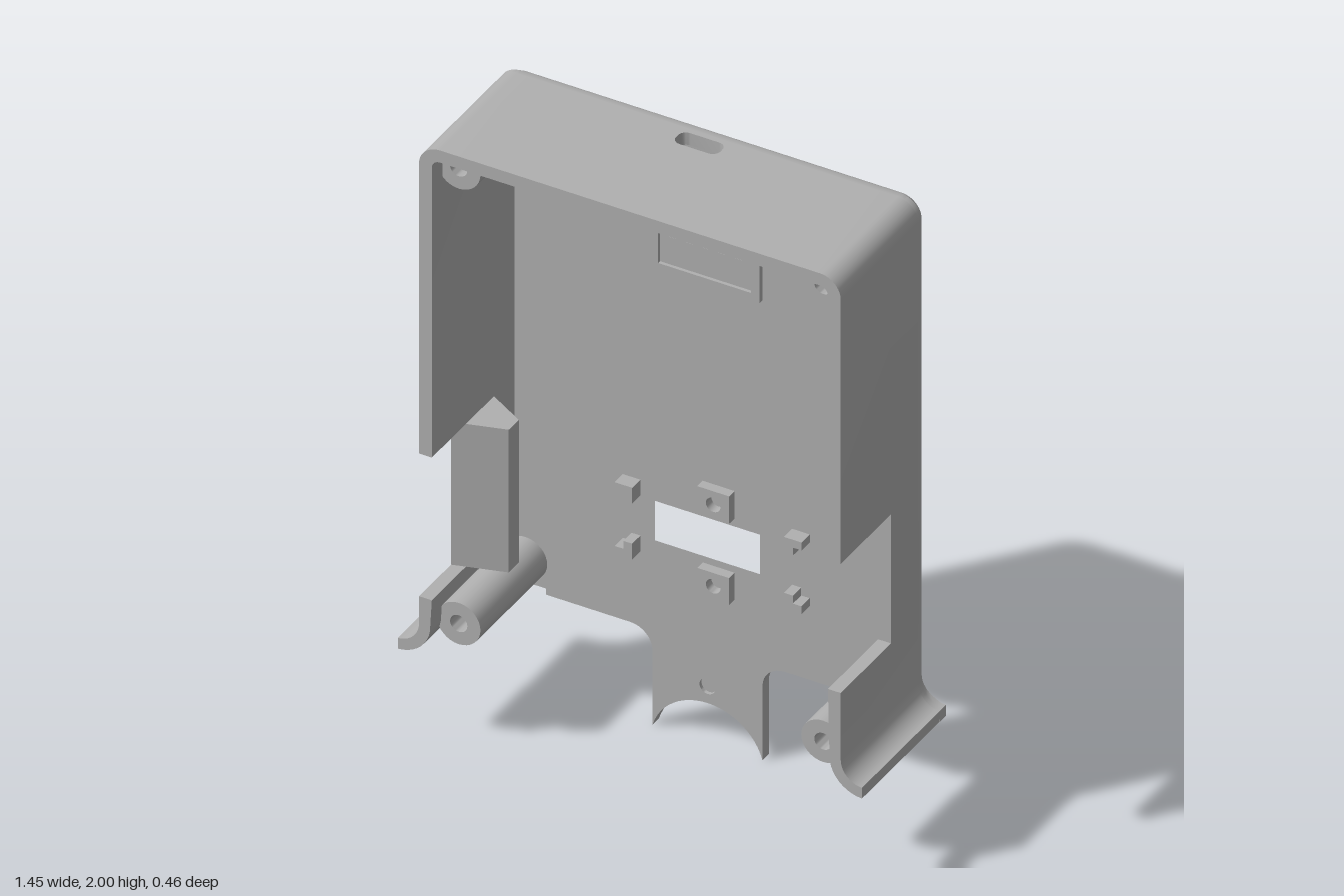
import * as THREE from 'three';
import { toCreasedNormals } from 'three/addons/utils/BufferGeometryUtils.js';

const BACK = -0.23, FLOOR = -0.195, FRONT = 0.23;

export function createModel() {
  const model = new THREE.Group();
  model.name = 'enclosure';
  const grey = new THREE.MeshStandardMaterial({ color: 0xb0b0b0 });
  grey.name = 'plain grey';

  const add = (name, geo) => {
    const mesh = new THREE.Mesh(toCreasedNormals(geo, 0.6), grey);
    mesh.name = name;
    model.add(mesh);
    return mesh;
  };
  // arc as a list of points, angles in degrees
  const arc = (cx, cy, r, a0, a1, n = 10) => Array.from({ length: n + 1 }, (_, i) => {
    const a = THREE.MathUtils.degToRad(a0 + (a1 - a0) * i / n);
    return [cx + r * Math.cos(a), cy + r * Math.sin(a)];
  });
  const flip = (pts, s = -1) => pts.map(([x, y]) => [x * s, y]);
  const toShape = (pts) => new THREE.Shape(pts.map(([x, y]) => new THREE.Vector2(x, y)));
  const rect = (x0, y0, x1, y1) => [[x0, y0], [x1, y0], [x1, y1], [x0, y1]];
  const circle = (x, y, r) => arc(x, y, r, 0, 345, 23);
  const extrude = (pts, z0, z1, holes = [], steps = 1) => {
    const shape = toShape(pts);
    shape.holes = holes.map(toShape);
    return new THREE.ExtrudeGeometry(shape, { depth: z1 - z0, steps, bevelEnabled: false }).translate(0, 0, z0);
  };
  // outline drawn in x and -z, raised from y0 to y1
  const raise = (pts, y0, y1, holes) => extrude(pts, y0, y1, holes).rotateX(-Math.PI / 2);
  // turned part with its axis along z
  const turned = (name, x, y, profile) => add(name,
    new THREE.LatheGeometry(profile.map(([r, z]) => new THREE.Vector2(r, z)), 32)
      .rotateX(Math.PI / 2).translate(x, y, 0));

  // back plate with flared feet, lower tab, screw holes and tapered window
  const half = [
    ...arc(0, -0.049, 0.179, 90, 16, 12).slice(1), [0.172, 0.245],
    ...arc(0.242, 0.245, 0.07, 180, 90, 8).slice(1),
    [0.505, 0.315], [0.505, 0.335], [0.59, 0.335], [0.59, 0.315],
    [0.727, 0.315], ...arc(0.73, 0.42, 0.07, 267, 180),
    ...arc(0.595, 1.935, 0.065, 0, 90),
  ];
  const outline = [[0, 0.13], ...half, ...flip(half).reverse()];
  const screws = [[-0.57, 1.915], [0.57, 1.915], [-0.57, 0.415], [0.57, 0.415]];
  const windowHole = rect(-0.165, 0.61, 0.165, 0.74);
  const plate = extrude(outline, BACK, FLOOR,
    [windowHole, circle(0, 0.185, 0.045), ...screws.map(([x, y]) => circle(x, y, 0.045))], 2);
  const p = plate.attributes.position;
  for (let i = 0; i < p.count; i++) {
    const x = p.getX(i), y = p.getY(i), z = p.getZ(i);
    const t = (FLOOR - z) / (FLOOR - BACK);
    if (windowHole.some(([a, b]) => Math.hypot(a - x, b - y) < 1e-4)) {
      p.setXY(i, x + Math.sign(x) * 0.05 * t, y + Math.sign(y - 0.675) * 0.04 * t);
    } else if (t > 0.9 && y > 0.36 && (Math.abs(x) > 0.625 || y > 1.965)) {
      p.setXY(i, x * 0.985, 1 + (y - 1) * 0.99); // bevelled rear edge
    }
  }
  add('backPlate', plate);

  // side walls: upper leg with rounded corner, lower leg with flared foot
  for (const [s, side, top, low] of [[1, 'left', 1.065, 0.64], [-1, 'right', 0.98, 0.51]]) {
    const upper = [[0.62, top], [0.66, top], ...arc(0.595, 1.935, 0.065, 0, 90),
      [0.5, 2], [0.5, 1.96], ...arc(0.595, 1.935, 0.025, 90, 0, 6)];
    add(side + 'UpperWall', extrude(flip(upper, s), FLOOR, FRONT));
    const foot = [[0.66, low], ...arc(0.73, 0.42, 0.07, 180, 267),
      ...arc(0.73, 0.42, 0.105, 268, 180), [0.62, low]];
    add(side + 'LowerWallAndFoot', extrude(flip(foot, s), FLOOR, FRONT));
    add(side + 'NotchWall', extrude(flip(rect(0.62, low, 0.66, top), s), FLOOR, -0.045));
    add(side + 'InnerChamfer', raise(flip([[0.625, 0.195], [0.605, 0.195], [0.62, 0.15], [0.625, 0.15]], s), 0.42, 1.96));
  }

  // top wall with rounded cable slot
  const slot = [...arc(0.045, 0.15, 0.025, 0, 90, 6), ...arc(-0.045, 0.15, 0.025, 90, 180, 6),
    ...arc(-0.045, 0.15, 0.025, 180, 270, 6), ...arc(0.045, 0.15, 0.025, 270, 360, 6)]
    .map(([x, y]) => [x, y + (y > 0.15 ? 0.005 : -0.005)]);
  add('topWall', raise(rect(-0.5, -FRONT, 0.5, -FLOOR), 1.96, 2, [slot]));
  for (const s of [-1, 1]) {
    add('topInnerChamfer', extrude(rect(0.1 * s, 1.945, 0.605 * s, 1.962), FLOOR, -0.17));
  }

  // slanted guide in the right wall notch
  add('sideGuide', raise([[-0.66, -0.055], [-0.505, -0.01], [-0.505, 0.045],
    [-0.62, 0.11], [-0.66, 0.11]], 0.51, 0.98));

  // screw posts, bored from both ends with a thin web between
  for (const [x, y] of screws) {
    turned('screwPost', x, y, [[0, -0.05], [0.045, -0.05], [0.045, FLOOR], [0.068, FLOOR],
      [0.068, 0.17], [0.027, 0.17], [0.027, -0.04], [0, -0.04]]);
  }
  turned('tabHoleWeb', 0, 0.185, [[0, -0.212], [0.046, -0.212], [0.046, FLOOR],
    [0.025, FLOOR], [0.025, -0.206], [0, -0.206]]);

  // board cradle below the cable slot
  add('cradleFrame', extrude([[-0.172, 1.515], [0.172, 1.515], [0.172, 1.96], [0.145, 1.96],
    [0.145, 1.54], [-0.145, 1.54], [-0.145, 1.96], [-0.172, 1.96]], FLOOR, -0.178));
  add('cradleSill', extrude(rect(-0.145, 1.54, 0.145, 1.63), FLOOR, -0.188));

  // drilled mounting pads
  const pad = (name, x, y, w, h, z) => add(name,
    extrude(rect(x - w / 2, y - h / 2, x + w / 2, y + h / 2), FLOOR, z, [circle(x, y, 0.023)]));
  for (const s of [-1, 1]) pad('cradlePad', 0.192 * s, 1.912, 0.096, 0.098, -0.165);
  pad('upperWindowPad', 0.035, 0.812, 0.1, 0.09, -0.165);
  pad('lowerWindowPad', 0.035, 0.544, 0.1, 0.088, -0.165);

  // L-shaped corner posts around the window
  for (const sx of [-1, 1]) for (const sy of [-1, 1]) {
    const post = [[0, 0], [0.055, 0], [0.055, 0.052], [0.027, 0.052], [0.027, 0.026], [0, 0.026]]
      .map(([x, y]) => [0.0275 + sx * (0.2925 - x), 0.676 + sy * (0.118 - y)]);
    add('cornerPost', extrude(post, FLOOR, -0.15));
    const cx = 0.0275 + sx * 0.2515, cy = 0.676 + sy * 0.079;
    add('cornerPostStep', extrude(rect(cx - 0.0135, cy - 0.013, cx + 0.0135, cy + 0.013), FLOOR, -0.175));
  }
  return model;
}
